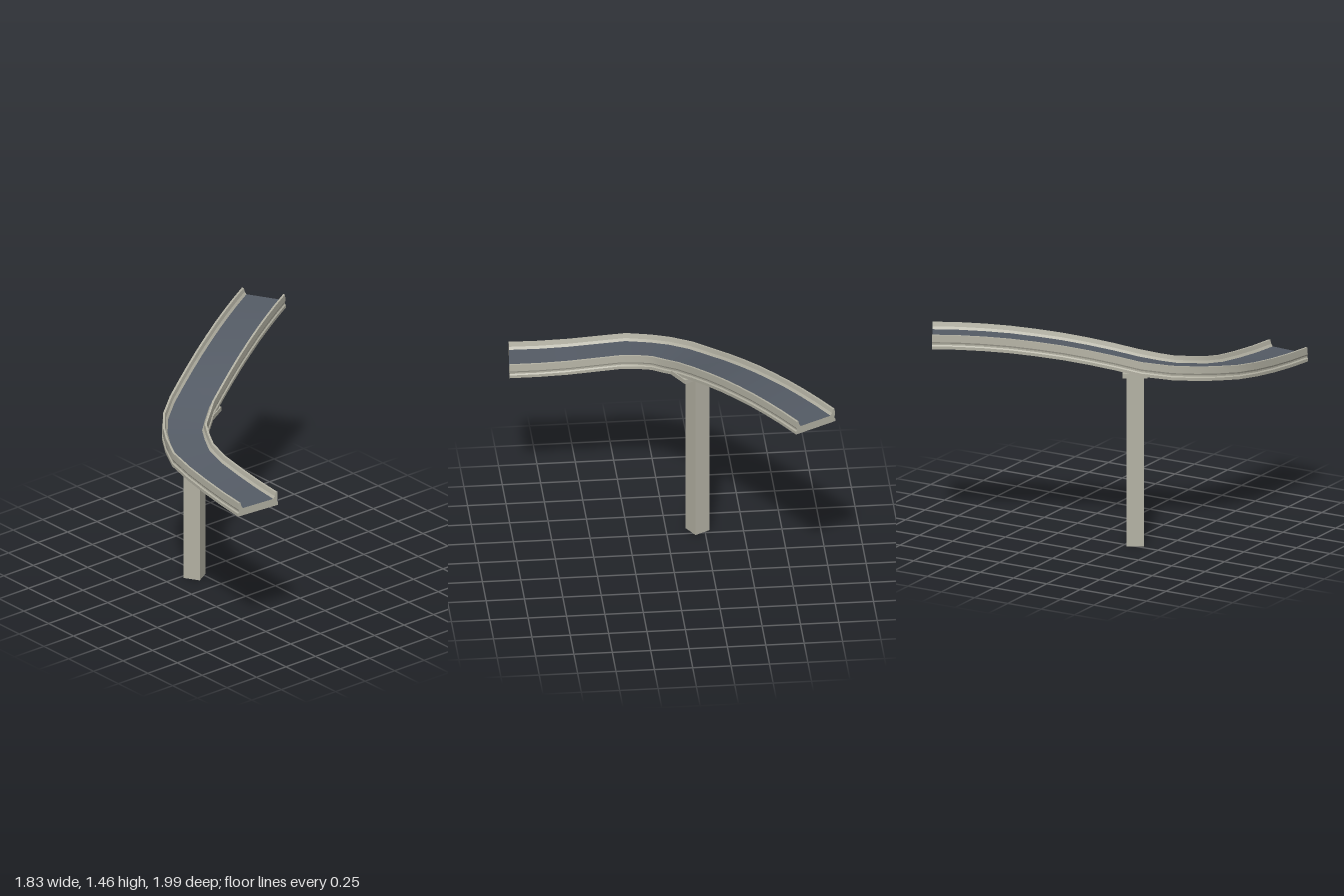
import * as THREE from 'three';

const HALF = 0.158; // half width of the deck

// Stations along the road: outer x, z, inner x, z, underside y
const stations = [
  [-0.917, 0.966, -0.6, 0.992, 1.022],
  [-0.9, 0.776, -0.587, 0.801, 1.029],
  [-0.883, 0.586, -0.573, 0.611, 1.043],
  [-0.866, 0.396, -0.56, 0.42, 1.064],
  [-0.84, 0.21, -0.533, 0.27, 1.09],
  [-0.765, 0.05, -0.485, 0.17, 1.112],
  [-0.69, -0.07, -0.432, 0.08, 1.13],
  [-0.58, -0.2, -0.35, 0.015, 1.152],
  [-0.42, -0.322, -0.25, -0.063, 1.184],
];
// Straight ramp that levels out towards the far end
const rampY = [1.184, 1.226, 1.263, 1.295, 1.32, 1.341, 1.355, 1.364, 1.367];
for (let i = 1; i < rampY.length; i++) {
  const t = i / (rampY.length - 1), l = THREE.MathUtils.lerp;
  stations.push([l(-0.42, 0.76, t), l(-0.322, -1, t), l(-0.25, 0.912, t), l(-0.063, -0.73, t), rampY[i]]);
}

// Inner-side half of the cross-section: edge lip, recess, barrier, kerb
const side = [
  [HALF, 0], [HALF, 0.02], [0.151, 0.028], [0.151, 0.038], [0.155, 0.048],
  [0.153, 0.094], [0.139, 0.094], [0.132, 0.068], [0.12, 0.052],
];
const profile = [...side, ...side.map(([w, h]) => [-w, h]).reverse()];

function place(station, [w, h]) {
  const [ox, oz, ix, iz, y] = station;
  const t = (w / HALF + 1) / 2;
  return [ox + (ix - ox) * t, y + h, oz + (iz - oz) * t];
}

// Sweep separate strips so edges stay sharp across and smooth along the road
function sweep(segments, capProfile) {
  const pos = [], index = [];
  for (const [p, q] of segments) {
    const base = pos.length / 3;
    stations.forEach((s, i) => {
      pos.push(...place(s, p), ...place(s, q));
      if (i === 0) return;
      const a = base + (i - 1) * 2;
      index.push(a, a + 2, a + 1, a + 1, a + 2, a + 3);
    });
  }
  if (capProfile) {
    const faces = THREE.ShapeUtils.triangulateShape(capProfile.map(([x, y]) => new THREE.Vector2(x, y)), []);
    [stations[0], stations[stations.length - 1]].forEach((s, end) => {
      const base = pos.length / 3;
      capProfile.forEach((p) => pos.push(...place(s, p)));
      for (const [a, b, c] of faces) index.push(base + a, base + (end ? c : b), base + (end ? b : c));
    });
  }
  const geo = new THREE.BufferGeometry();
  geo.setAttribute('position', new THREE.Float32BufferAttribute(pos, 3));
  geo.setIndex(index);
  geo.computeVertexNormals();
  return geo;
}

export function createModel() {
  const group = new THREE.Group();
  const concrete = new THREE.MeshStandardMaterial({ color: 0xb4b2a4 });
  const asphalt = new THREE.MeshStandardMaterial({ color: 0x555c66 });
  const add = (name, geo, mat) => {
    const mesh = new THREE.Mesh(geo, mat);
    mesh.name = name;
    group.add(mesh);
    return mesh;
  };

  // Deck with barriers, and the road surface between them
  const roadEdge = side.length - 1;
  const segments = profile.map((p, i) => [p, profile[(i + 1) % profile.length]]);
  add('deckAndBarriers', sweep(segments.filter((_, i) => i !== roadEdge), profile), concrete);
  add('roadSurface', sweep([segments[roadEdge]]), asphalt);

  // Support pillar and its cap, turned square to the straight ramp
  const support = (name, w, h, d, y) => {
    const mesh = add(name, new THREE.BoxGeometry(w, h, d), concrete);
    mesh.position.set(-0.302, y + h / 2, -0.205);
    mesh.rotation.y = Math.PI / 6;
  };
  support('pillar', 0.113, 1.17, 0.113, 0);
  support('pillarCap', 0.16, 0.03, 0.312, 1.17);
  return group;
}
